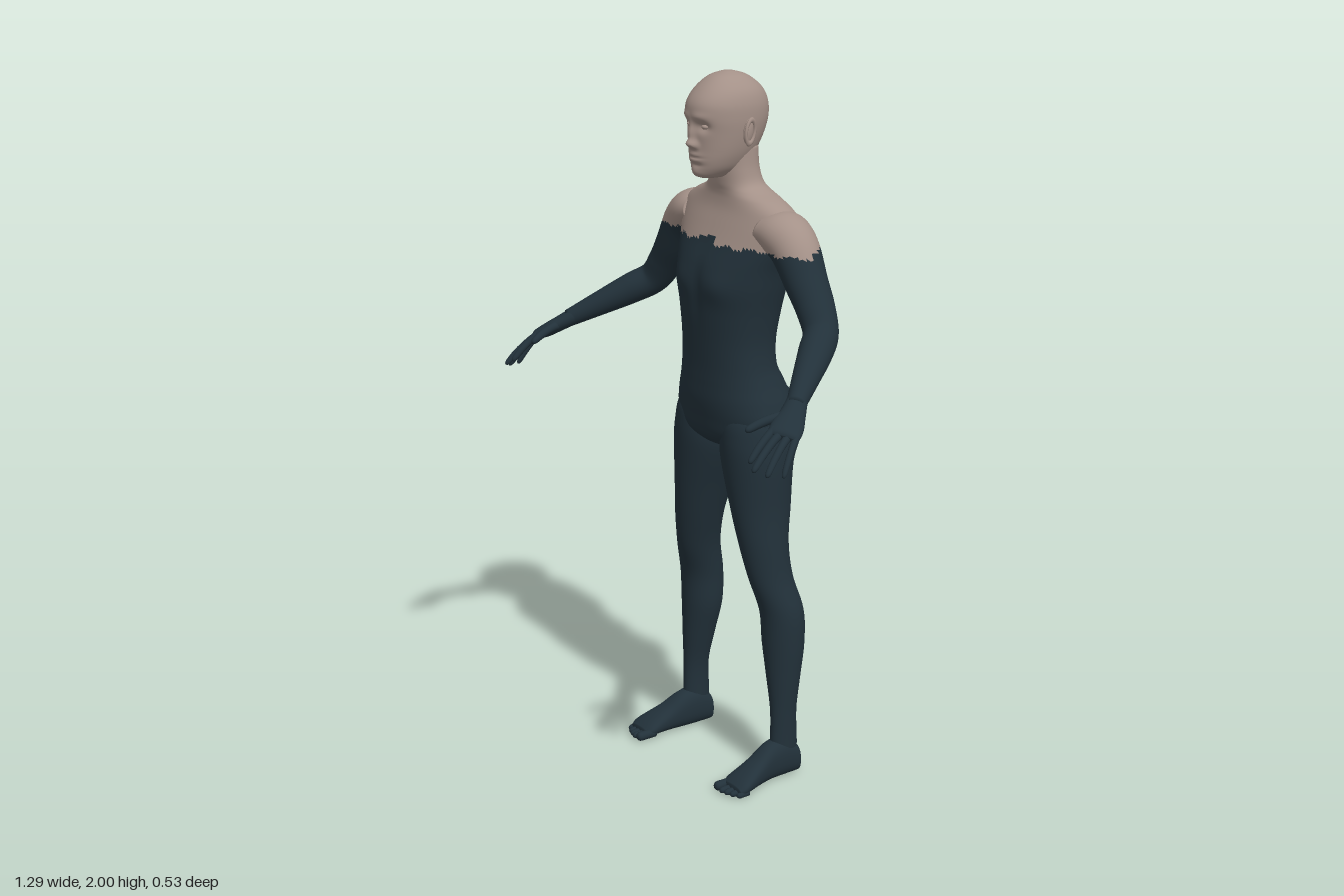
import * as THREE from 'three';

const skin = new THREE.MeshStandardMaterial({ color: 0xa49188 });
skin.name = 'skin';
const suit = new THREE.MeshStandardMaterial({ color: 0x22313a });
suit.name = 'darkSuit';

const V = (x, y, z) => new THREE.Vector3(x, y, z);
const gauss = (d, s) => Math.exp(-(d * d) / (s * s));

// Smooth closed loft through rings [cx, cy, cz, halfU, halfV].
// normal: fixed ring normal, or null to follow the path; side: direction of halfU.
function loft(name, rings, { normal = null, side = V(1, 0, 0), segs = 32, sub = 6, power = 2, rule = null, isSkin = () => false }) {
  const path = new THREE.CatmullRomCurve3(rings.map(r => V(r[0], r[1], r[2])), false, 'catmullrom', 0.5);
  const size = new THREE.CatmullRomCurve3(rings.map(r => V(r[3], r[4], 0)), false, 'catmullrom', 0.5);
  const rows = (rings.length - 1) * sub;
  const pts = [];
  const bulge = v => Math.sign(v) * Math.pow(Math.abs(v), 2 / power);
  for (let i = 0; i <= rows; i++) {
    const t = i / rows;
    const c = path.getPoint(t), s = size.getPoint(t);
    const n = normal ? normal.clone() : path.getTangent(t);
    const u = side.clone().addScaledVector(n, -side.dot(n)).normalize();
    const w = n.clone().cross(u);
    for (let j = 0; j < segs; j++) {
      const a = (j / segs) * Math.PI * 2;
      const p = c.clone()
        .addScaledVector(u, bulge(Math.cos(a)) * Math.max(s.x, 0.001))
        .addScaledVector(w, bulge(Math.sin(a)) * Math.max(s.y, 0.001));
      if (rule) rule(p);
      pts.push(p);
    }
  }
  const first = pts.length;
  pts.push(path.getPoint(0), path.getPoint(1));
  const lists = [[], []];
  const tri = (a, b, c) => {
    const mid = pts[a].clone().add(pts[b]).add(pts[c]).divideScalar(3);
    lists[isSkin(mid) ? 0 : 1].push(a, b, c);
  };
  for (let j = 0; j < segs; j++) {
    const k = (j + 1) % segs;
    for (let i = 0; i < rows; i++) {
      const a = i * segs + j, b = i * segs + k;
      tri(a, b, a + segs);
      tri(b, b + segs, a + segs);
    }
    tri(first, k, j);
    tri(first + 1, rows * segs + j, rows * segs + k);
  }
  const geo = new THREE.BufferGeometry().setFromPoints(pts);
  geo.setIndex([...lists[0], ...lists[1]]);
  geo.computeVertexNormals();
  let material = lists[0].length ? skin : suit;
  if (lists[0].length && lists[1].length) {
    geo.addGroup(0, lists[0].length, 0);
    geo.addGroup(lists[0].length, lists[1].length, 1);
    material = [skin, suit];
  }
  const mesh = new THREE.Mesh(geo, material);
  mesh.name = name;
  return mesh;
}

const UP = V(0, 1, 0), FORWARD = V(0, 0, 1);
// Horizontal ring from height, half width, front z and back z
const level = (y, rx, zf, zb, cx = 0) => [cx, y, (zf + zb) / 2, rx, (zf - zb) / 2];

// Neckline: suit rises a little at the back and in a small tab at the chest
const aboveNeckline = p =>
  p.y > 1.54 + (p.z < -0.14 ? 0.014 : 0) + (Math.abs(p.x) < 0.034 && p.z > -0.1 ? 0.018 : 0)
    + 0.003 * Math.sign(Math.sin(p.x * 90));

function makeTorso() {
  const rings = [
    [0.955, 0.04, -0.07, -0.17], [0.97, 0.11, -0.04, -0.2], [1.0, 0.18, -0.015, -0.225],
    [1.05, 0.198, -0.006, -0.242], [1.1, 0.188, 0, -0.252], [1.15, 0.17, 0, -0.235],
    [1.2, 0.157, 0, -0.213], [1.27, 0.153, 0.003, -0.212], [1.35, 0.163, 0.008, -0.225],
    [1.42, 0.178, 0.01, -0.238], [1.48, 0.192, 0, -0.248], [1.54, 0.215, -0.025, -0.254],
    [1.59, 0.225, -0.045, -0.245], [1.63, 0.213, -0.06, -0.228], [1.66, 0.165, -0.066, -0.212],
    [1.68, 0.115, -0.066, -0.202], [1.7, 0.086, -0.063, -0.192], [1.74, 0.074, -0.06, -0.182],
    [1.8, 0.07, -0.06, -0.178]].map(r => level(...r));
  return loft('torso', rings, {
    normal: UP, segs: 96, sub: 8, power: 2.25, isSkin: aboveNeckline,
    rule: p => {
      if (p.z < -0.12) { // spine groove and cleft
        p.z += 0.012 * gauss(p.x, 0.03) * gauss(p.y - 1.35, 0.2);
        p.z += 0.03 * gauss(p.x, 0.022) * gauss(p.y - 1.04, 0.07);
      } else { // chest
        p.z += 0.008 * gauss(Math.abs(p.x) - 0.08, 0.05) * gauss(p.y - 1.43, 0.04);
        p.z -= 0.005 * gauss(p.x, 0.02) * gauss(p.y - 1.42, 0.08);
      }
    }
  });
}

function makeHead() {
  const head = new THREE.Group();
  head.name = 'head';
  const rings = [
    [1.718, 0.022, -0.012, -0.09], [1.725, 0.036, 0.004, -0.115], [1.745, 0.055, 0.011, -0.145],
    [1.77, 0.068, 0.014, -0.165], [1.8, 0.078, 0.015, -0.185], [1.84, 0.086, 0.018, -0.204],
    [1.88, 0.09, 0.024, -0.215], [1.92, 0.088, 0.021, -0.212], [1.955, 0.075, -0.003, -0.193],
    [1.985, 0.047, -0.04, -0.155], [1.997, 0.02, -0.075, -0.12], [2.0, 0.003, -0.095, -0.1]].map(r => level(...r));
  head.add(loft('skull', rings, {
    normal: UP, segs: 112, sub: 8, power: 2.15, isSkin: () => true,
    rule: p => {
      if (p.z < -0.06) return;
      const x = Math.abs(p.x), y = p.y;
      let d = -0.013 * gauss(x - 0.034, 0.019) * gauss(y - 1.861, 0.014);       // eye sockets
      d += 0.004 * gauss(x - 0.03, 0.025) * gauss(y - 1.888, 0.01);             // brows
      d += 0.014 * gauss(x, 0.01) * gauss(y - 1.84, 0.024);                     // nose bridge
      d += 0.019 * gauss(x, 0.012) * gauss(y - 1.814, 0.012);                   // nose tip
      d += 0.01 * gauss(x - 0.014, 0.008) * gauss(y - 1.81, 0.009);             // nostrils
      d += 0.009 * gauss(x, 0.025) * gauss(y - 1.777, 0.016);                   // lips
      d -= 0.008 * gauss(x, 0.024) * gauss(y - 1.777, 0.004);                   // mouth line
      d -= 0.005 * gauss(x, 0.025) * gauss(y - 1.757, 0.007);                   // chin crease
      d += 0.005 * gauss(x, 0.022) * gauss(y - 1.735, 0.012);                   // chin
      p.z += d;
    }
  }));
  for (const s of [1, -1]) {
    const eye = new THREE.Mesh(new THREE.SphereGeometry(0.012, 20, 14), skin);
    eye.name = 'eye';
    eye.scale.y = 0.65;
    eye.position.set(s * 0.033, 1.861, -0.002);
    const ear = new THREE.Group();
    ear.name = 'ear';
    const lobe = new THREE.Mesh(new THREE.SphereGeometry(1, 20, 14), skin);
    lobe.name = 'earBody';
    lobe.scale.set(0.009, 0.034, 0.018);
    const rim = new THREE.Mesh(new THREE.TorusGeometry(0.018, 0.0045, 8, 28), skin);
    rim.name = 'earRim';
    rim.rotation.y = Math.PI / 2;
    rim.scale.y = 1.75;
    rim.position.x = s * 0.007;
    ear.add(lobe, rim);
    ear.position.set(s * 0.091, 1.847, -0.1);
    ear.rotation.set(-0.15, s * 0.25, 0);
    head.add(eye, ear);
  }
  return head;
}

function makeArm(s, name) {
  const arm = new THREE.Group();
  arm.name = name;
  const mirror = rings => rings.map(([x, ...rest]) => [s * x, ...rest]);
  arm.add(loft('armLimb', mirror([
    [0.16, 1.59, -0.14, 0.05, 0.075], [0.205, 1.58, -0.14, 0.063, 0.075], [0.25, 1.545, -0.14, 0.064, 0.068],
    [0.3, 1.472, -0.138, 0.056, 0.06], [0.345, 1.41, -0.135, 0.05, 0.054], [0.388, 1.353, -0.12, 0.046, 0.048],
    [0.43, 1.318, -0.07, 0.044, 0.046], [0.485, 1.272, 0.005, 0.035, 0.036], [0.54, 1.226, 0.08, 0.025, 0.025]]),
  { side: V(s * 0.7, 0.7, 0), segs: 40, sub: 10, isSkin: aboveNeckline }));

  const across = V(-s * 0.8, 0.27, 0.53);
  arm.add(loft('palm', mirror([
    [0.525, 1.238, 0.06, 0.026, 0.025], [0.555, 1.211, 0.1, 0.034, 0.022], [0.575, 1.192, 0.13, 0.042, 0.02],
    [0.592, 1.178, 0.155, 0.042, 0.015], [0.598, 1.172, 0.164, 0.034, 0.007]]), { side: across, segs: 24 }));

  // Knuckle, tip, radius
  const fingers = {
    littleFinger: [[0.615, 1.17, 0.135], [0.643, 1.083, 0.195], 0.009],
    ringFinger: [[0.6, 1.175, 0.147], [0.626, 1.088, 0.235], 0.01],
    middleFinger: [[0.583, 1.181, 0.158], [0.602, 1.1, 0.26], 0.0105],
    indexFinger: [[0.567, 1.188, 0.166], [0.576, 1.115, 0.252], 0.0105],
    thumb: [[0.548, 1.21, 0.105], [0.516, 1.178, 0.22], 0.0125]
  };
  for (const [finger, [a, b, r]] of Object.entries(fingers)) {
    const at = (t, k) => [...a.map((v, i) => v + (b[i] - v) * t + (i === 1 ? 0.03 * t * (1 - t) : 0)), r * k, r * k];
    arm.add(loft(finger, mirror([at(0, 1.15), at(0.33, 1), at(0.65, 0.95), at(0.9, 0.8), at(0.98, 0.5), at(1, 0.1)]),
      { side: across, segs: 14, sub: 4 }));
  }
  return arm;
}

function makeLeg(s, name) {
  const leg = new THREE.Group();
  leg.name = name;
  // Height, half width, front z, back z, centre x
  const rings = [
    [0.05, 0.03, -0.1, -0.19, 0.215], [0.1, 0.029, -0.103, -0.19, 0.216], [0.2, 0.032, -0.105, -0.186, 0.215],
    [0.3, 0.046, -0.1, -0.2, 0.207], [0.4, 0.061, -0.095, -0.215, 0.198], [0.5, 0.063, -0.088, -0.214, 0.193],
    [0.6, 0.058, -0.06, -0.192, 0.173], [0.7, 0.067, -0.042, -0.188, 0.154], [0.8, 0.08, -0.03, -0.205, 0.135],
    [0.93, 0.104, -0.02, -0.222, 0.114], [1.0, 0.106, -0.018, -0.255, 0.107], [1.06, 0.099, -0.025, -0.266, 0.1],
    [1.12, 0.075, -0.06, -0.236, 0.088]].map(([y, rx, zf, zb, cx]) => level(y, rx, zf, zb, s * cx));
  leg.add(loft('legLimb', rings, { normal: UP, segs: 48, sub: 6 }));

  // Foot: z, centre x, half width, top height
  const foot = [
    [-0.2, 0.215, 0.012, 0.05], [-0.188, 0.215, 0.028, 0.085], [-0.14, 0.215, 0.035, 0.115],
    [-0.09, 0.217, 0.036, 0.108], [-0.04, 0.224, 0.04, 0.078], [0, 0.23, 0.046, 0.057],
    [0.03, 0.233, 0.049, 0.04], [0.05, 0.234, 0.041, 0.026]]
    .map(([z, x, rx, top]) => [s * x, top / 2, z, rx, top / 2]);
  leg.add(loft('foot', foot, { normal: FORWARD, segs: 32, power: 2.4, rule: p => { p.y = Math.max(p.y, 0); } }));

  for (let i = 0; i < 5; i++) {
    const r = i === 0 ? 0.0135 : 0.0098 - i * 0.0003;
    const x = i === 0 ? 0.197 : 0.202 + i * 0.0178;
    const tip = [0.082, 0.081, 0.077, 0.07, 0.06][i];
    const toe = [[0.02, 1], [0.05, 1], [tip - 0.012, 1], [tip - 0.003, 0.7], [tip, 0.15]]
      .map(([z, k]) => [s * x, r, z, r * k, r * k]);
    leg.add(loft('toe', toe, { normal: FORWARD, segs: 14, sub: 4 }));
  }
  return leg;
}

export function createModel() {
  const model = new THREE.Group();
  model.name = 'humanFigure';
  model.add(makeTorso(), makeHead());
  model.add(makeArm(1, 'leftArm'), makeArm(-1, 'rightArm'));
  model.add(makeLeg(1, 'leftLeg'), makeLeg(-1, 'rightLeg'));
  return model;
}
